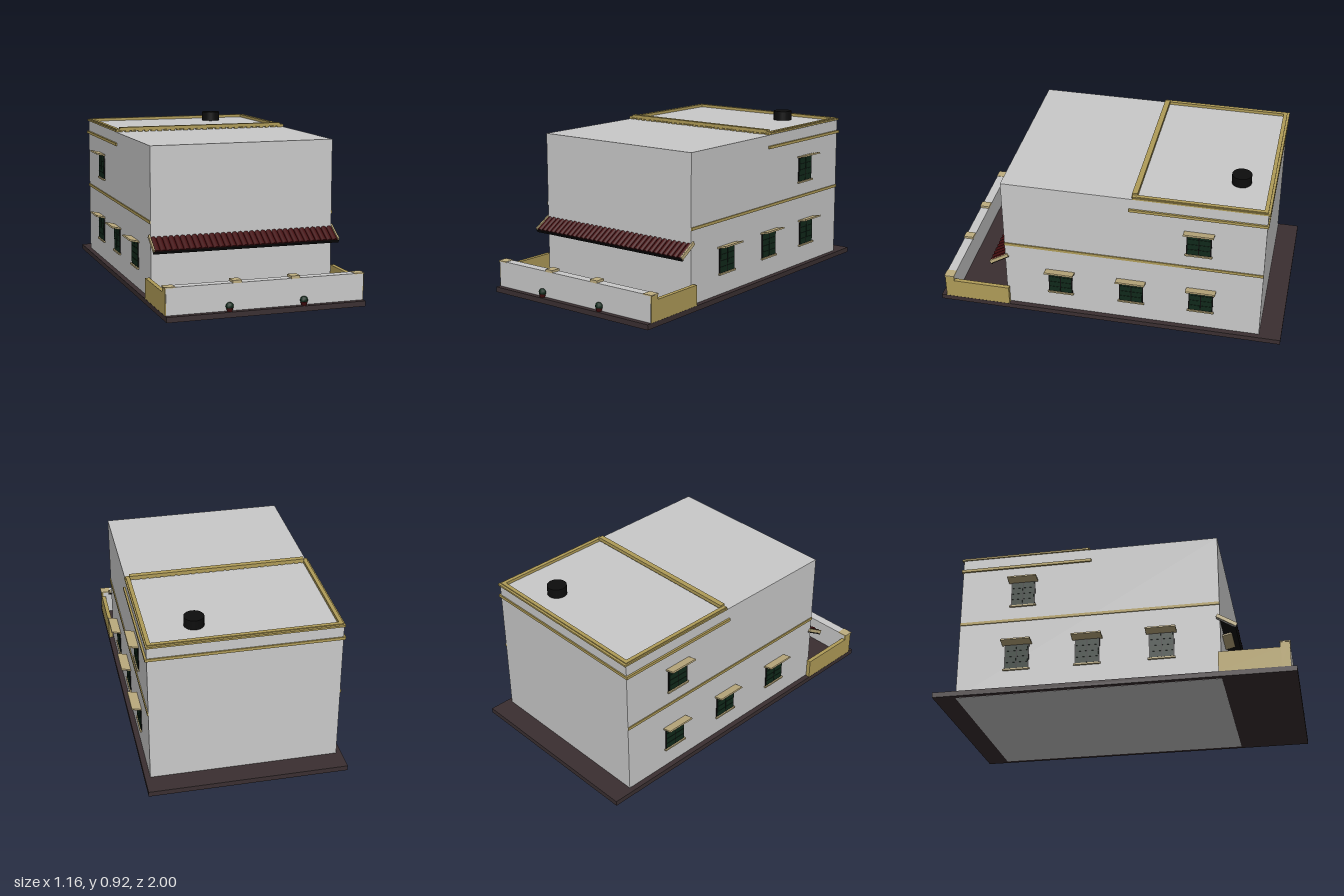
import * as THREE from 'three';

const mat = (name, color) => {
  const m = new THREE.MeshStandardMaterial({ color });
  m.name = name;
  return m;
};

export function createModel() {
  const M = {
    wall: mat('off-white plaster', 0xcacaca),
    ochre: mat('ochre trim', 0xb09c58),
    tan: mat('tan stone', 0xbfae80),
    base: mat('dark paving', 0x3a2f31),
    tile: mat('dark red tile', 0x420c0e),
    green: mat('dark green shutter', 0x10291a),
    black: mat('black', 0x0d0d0d),
  };
  const house = new THREE.Group();
  house.name = 'house';

  const add = (parent, name, geo, m, x = 0, y = 0, z = 0) => {
    const mesh = new THREE.Mesh(geo, m);
    mesh.name = name;
    mesh.position.set(x, y, z);
    parent.add(mesh);
    return mesh;
  };
  // Box given by its lower and upper limits on each axis
  const box = (parent, name, m, x0, x1, y0, y1, z0, z1) =>
    add(parent, name, new THREE.BoxGeometry(x1 - x0, y1 - y0, z1 - z0), m,
      (x0 + x1) / 2, (y0 + y1) / 2, (z0 + z1) / 2);

  // Plinth and main block
  box(house, 'plinth', M.base, -0.555, 0.555, 0.001, 0.03, -1, 1);
  box(house, 'mainBlock', M.wall, -0.525, 0.525, 0, 0.86, -0.875, 0.6);
  box(house, 'doorStep', M.base, -0.12, 0.12, 0.03, 0.045, 0.6, 0.695);

  // Trim bands
  for (const s of [-1, 1]) {
    const band = (name, out, y0, y1, z0, z1) =>
      box(house, name, M.ochre, Math.min(s * 0.52, s * out), Math.max(s * 0.52, s * out), y0, y1, z0, z1);
    band('floorBand', 0.531, 0.441, 0.457, -0.875, 0.6);
    band('upperBand', 0.536, 0.782, 0.798, -0.88, -0.12);
    band('roofRimSide', 0.53, 0.862, 0.872, -0.88, -0.14);
    box(house, 'roofRimInner', M.ochre, s > 0 ? 0.5 : -0.522, s > 0 ? 0.522 : -0.5, 0.858, 0.877, -0.865, -0.14);
  }
  box(house, 'upperBandBack', M.ochre, -0.536, 0.536, 0.782, 0.798, -0.882, -0.87);
  box(house, 'roofRimBack', M.ochre, -0.53, 0.53, 0.862, 0.872, -0.885, -0.87);
  box(house, 'roofRimBackInner', M.ochre, -0.522, 0.522, 0.858, 0.877, -0.872, -0.85);
  box(house, 'roofRimFront', M.ochre, -0.525, 0.525, 0.866, 0.876, -0.165, -0.138);
  box(house, 'roofRimFrontRail', M.ochre, -0.503, 0.503, 0.876, 0.887, -0.165, -0.135);
  for (let i = 0; i < 26; i++) {
    const x = -0.5 + i * 0.04;
    box(house, 'dentil', M.ochre, x - 0.012, x + 0.012, 0.859, 0.868, -0.16, -0.132);
  }

  // Water tank
  add(house, 'waterTank', new THREE.CylinderGeometry(0.055, 0.055, 0.057, 24), M.black, 0.242, 0.8865, -0.695);

  // Shuttered window, facing +z at its own origin
  const window_ = () => {
    const g = new THREE.Group();
    g.name = 'window';
    box(g, 'frame', M.black, -0.07, 0.07, 0, 0.15, -0.005, 0.004);
    for (const cx of [-0.033, 0.033])
      for (let r = 0; r < 4; r++) {
        const y = 0.006 + r * 0.035;
        box(g, 'shutterPanel', M.green, cx - 0.03, cx + 0.03, y, y + 0.032, 0, 0.006);
      }
    box(g, 'sill', M.tan, -0.076, 0.076, -0.006, 0.003, -0.004, 0.012);
    hood(g, 0, 0.153, 0.168);
    return g;
  };
  // Sloping slab that rises outwards
  const hood = (parent, x, y, w) => {
    const h = add(parent, 'hood', new THREE.BoxGeometry(w, 0.009, 0.058), M.tan, x, y + 0.004, 0.026);
    h.rotation.x = -0.23;
  };
  for (const s of [-1, 1])
    for (const [y, z] of [[0.147, 0.278], [0.147, -0.135], [0.147, -0.535], [0.538, -0.512]]) {
      const w = window_();
      w.position.set(s * 0.525, y, z);
      w.rotation.y = s * Math.PI / 2;
      house.add(w);
    }

  // Hoods on the front wall
  const frontHoods = new THREE.Group();
  frontHoods.name = 'frontHoods';
  frontHoods.position.z = 0.598;
  hood(frontHoods, -0.335, 0.302, 0.18);
  hood(frontHoods, 0.33, 0.302, 0.18);
  house.add(frontHoods);

  // Tiled awning
  const awning = new THREE.Group();
  awning.name = 'awning';
  awning.position.set(0, 0.368, 0.585);
  awning.rotation.x = 0.55;
  box(awning, 'awningBoard', M.black, -0.528, 0.528, -0.014, -0.003, 0, 0.118);
  box(awning, 'awningFrontBeam', M.black, -0.534, 0.534, -0.014, 0.002, 0.114, 0.124);
  const n = 32, pitch = 1.056 / n;
  for (let i = 0; i < n; i++) {
    const geo = new THREE.CylinderGeometry(pitch / 2, pitch / 2, 0.12, 10);
    geo.rotateX(Math.PI / 2).scale(1, 0.7, 1);
    add(awning, 'roofTile', geo, M.tile, -0.528 + pitch * (i + 0.5), 0, 0.06);
  }
  for (const s of [-1, 1])
    add(awning, 'awningEndBoard', new THREE.BoxGeometry(0.009, 0.02, 0.125), M.tan, s * 0.531, 0.003, 0.059);
  house.add(awning);

  // Courtyard walls
  box(house, 'frontWall', M.wall, -0.55, 0.55, 0.03, 0.177, 0.917, 0.97);
  for (const s of [-1, 1]) {
    const side = (name, m, a, b, ...r) => box(house, name, m, Math.min(s * a, s * b), Math.max(s * a, s * b), ...r);
    side('sideWall', M.ochre, 0.53, 0.554, 0.03, 0.145, 0.585, 0.92);
    side('cornerPillarFace', M.ochre, 0.545, 0.554, 0.03, 0.175, 0.916, 0.969);
    side('cornerCap', M.tan, 0.5, 0.558, 0.173, 0.179, 0.915, 0.972);
  }
  for (const x of [-0.165, 0.16])
    box(house, 'wallCap', M.tan, x - 0.025, x + 0.025, 0.175, 0.19, 0.915, 0.972);

  // Potted shrubs
  for (const x of [-0.21, 0.205]) {
    add(house, 'plantPot', new THREE.CylinderGeometry(0.019, 0.014, 0.02, 12), M.tile, x, 0.04, 0.981);
    const bush = add(house, 'shrub', new THREE.IcosahedronGeometry(0.022, 1), M.green, x, 0.058, 0.981);
    bush.scale.set(1, 1, 0.85);
  }
  return house;
}
